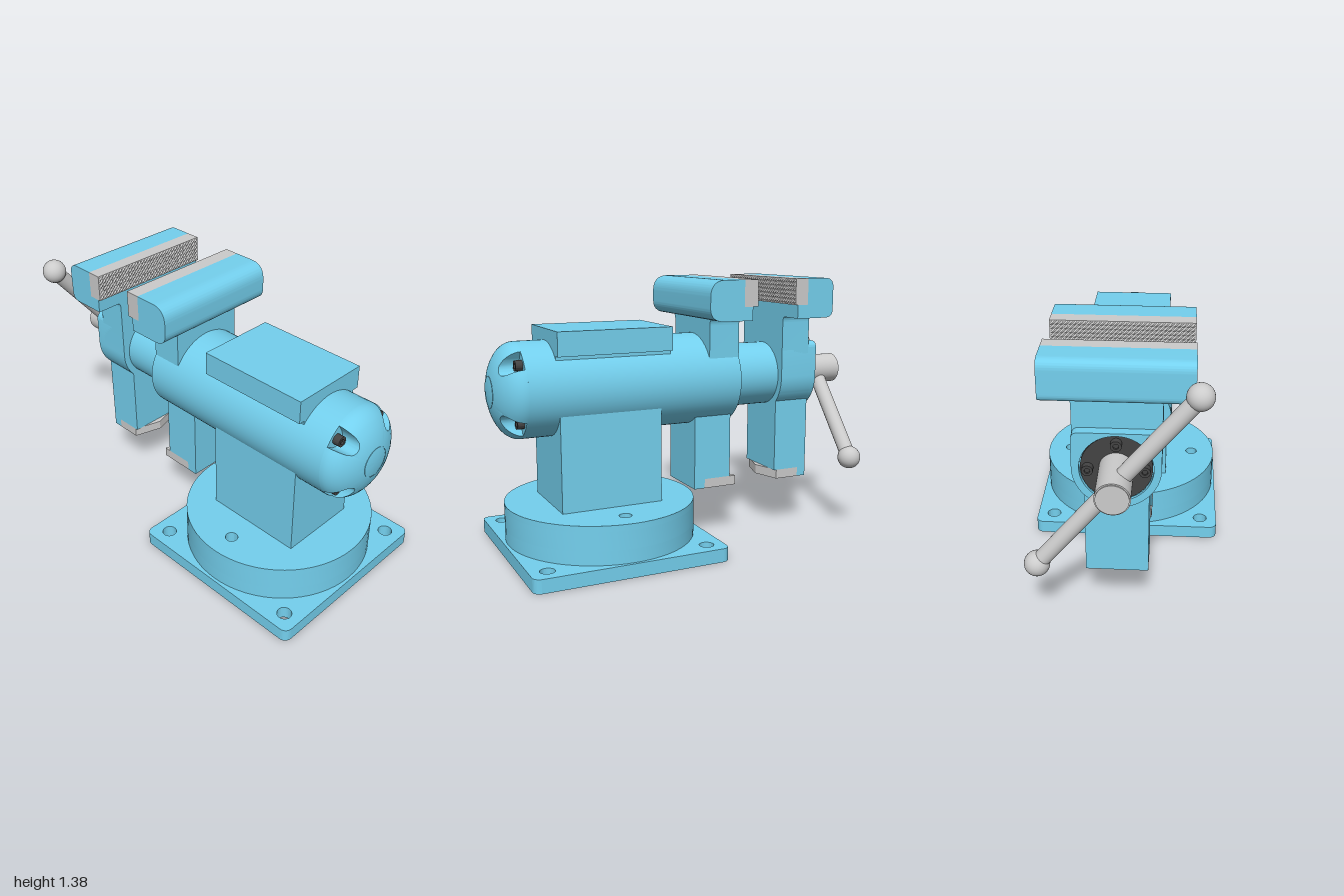
import * as THREE from 'three';
import { toCreasedNormals } from 'three/addons/utils/BufferGeometryUtils.js';

const mat = (color) => new THREE.MeshStandardMaterial({ color });
const BLUE = mat(0x74d0ee), GREY = mat(0xcccccc), DARK = mat(0x444444);
const AXIS_Y = 0.857, BASE_Z = 0.435;

export function createModel() {
  const model = new THREE.Group();

  const add = (name, geo, material, x = 0, y = 0, z = 0) => {
    const mesh = new THREE.Mesh(geo, material);
    mesh.name = name;
    mesh.position.set(x, y, z);
    model.add(mesh);
    return mesh;
  };
  // Box given by its limits on each axis
  const box = (name, m, x0, x1, y0, y1, z0, z1) =>
    add(name, new THREE.BoxGeometry(x1 - x0, y1 - y0, z1 - z0), m, (x0 + x1) / 2, (y0 + y1) / 2, (z0 + z1) / 2);
  // Cylinder along z
  const rod = (name, m, r, z0, z1, x = 0, y = AXIS_Y, n = 48) =>
    add(name, new THREE.CylinderGeometry(r, r, z1 - z0, n).rotateX(Math.PI / 2), m, x, y, (z0 + z1) / 2);
  const extrude = (shape, depth) =>
    toCreasedNormals(new THREE.ExtrudeGeometry(shape, { depth, bevelEnabled: false, curveSegments: 32 }), 0.5);
  // Extrusions: upwards, along z, and across x (shape x = -z)
  const slab = (name, m, shape, y0, y1, z = 0) => add(name, extrude(shape, y1 - y0).rotateX(-Math.PI / 2), m, 0, y0, z);
  const alongZ = (name, m, shape, z0, z1) => add(name, extrude(shape, z1 - z0), m, 0, 0, z0);
  const acrossX = (name, m, shape, half) => add(name, extrude(shape, 2 * half).rotateY(Math.PI / 2), m, -half, 0, 0);

  const disc = (r, x = 0, y = 0) => new THREE.Shape().absarc(x, y, r, 0, Math.PI * 2, false);
  const rect = (a, b, r = 0) => {
    const s = new THREE.Shape();
    if (!r) return s.moveTo(-a, -b).lineTo(a, -b).lineTo(a, b).lineTo(-a, b).closePath();
    s.absarc(a - r, b - r, r, 0, Math.PI / 2).absarc(r - a, b - r, r, Math.PI / 2, Math.PI);
    return s.absarc(r - a, r - b, r, Math.PI, Math.PI * 1.5).absarc(a - r, r - b, r, Math.PI * 1.5, Math.PI * 2);
  };
  const cut = (shape, ...holes) => { shape.holes.push(...holes); return shape; };

  // Base plate, hollow turntable and clamp bar
  const boltHoles = () => [-0.36, 0.36].map((x) => disc(0.032, x, 0));
  const corners = [-1, 1].flatMap((i) => [-1, 1].map((j) => disc(0.037, i * 0.415, j * 0.415)));
  slab('basePlate', BLUE, cut(rect(0.505, 0.505, 0.04), disc(0.45), ...corners), 0, 0.07, BASE_Z);
  slab('turntableWall', BLUE, cut(disc(0.49), disc(0.45)), 0.07, 0.14, BASE_Z);
  slab('turntableLedge', BLUE, cut(disc(0.49), disc(0.31), ...boltHoles()), 0.14, 0.235, BASE_Z);
  slab('turntableTop', BLUE, cut(disc(0.49), rect(0.18, 0.2), ...boltHoles()), 0.235, 0.265, BASE_Z);
  slab('clampBar', GREY, cut(rect(0.43, 0.085), ...boltHoles()), 0.02, 0.07, BASE_Z);
  slab('pedestal', BLUE, cut(rect(0.213, 0.265), rect(0.18, 0.2)), 0.265, 0.78, 0.44);

  // Barrel with domed cap and anvil
  rod('barrel', BLUE, 0.24, -0.27, 0.86, 0, AXIS_Y, 64);
  add('barrelCap', capGeometry(), BLUE, 0, AXIS_Y, 0);
  alongZ('capRing', BLUE, cut(disc(0.079, 0, AXIS_Y), disc(0.075, 0, AXIS_Y)), 0.98, 0.994);
  box('anvil', BLUE, -0.213, 0.213, 1.035, 1.155, 0.11, 0.71);
  box('anvilNeck', BLUE, -0.18, 0.18, 0.95, 1.035, 0.11, 0.71);

  const boltHead = (name, x, y, z0, z1) => {
    alongZ(name, DARK, cut(disc(0.026, x, y), disc(0.013, x, y)), z0, z1);
    rod(name + 'Core', DARK, 0.014, z0 + 0.008, z1 - 0.008, x, y, 6);
  };
  for (const i of [-1, 1]) for (const j of [-1, 1])
    boltHead('capBolt', i * 0.14, AXIS_Y + j * 0.14, 0.86, 0.9);

  // Neck flaring out under a jaw head
  const neck = () => new THREE.Shape().moveTo(-0.205, AXIS_Y).lineTo(0.205, AXIS_Y).lineTo(0.205, 1.15)
    .quadraticCurveTo(0.205, 1.19, 0.245, 1.19).lineTo(-0.245, 1.19).quadraticCurveTo(-0.205, 1.19, -0.205, 1.15);
  // Jaw head section: inner face, back of the grip pad, outer face, corner radius
  const head = (inner, pad, outer, r) => {
    const k = Math.sign(outer - inner) * r, y0 = 1.18, y1 = 1.385;
    return new THREE.Shape().moveTo(inner, y0).lineTo(inner, 1.25).lineTo(pad, 1.25).lineTo(pad, y1)
      .lineTo(outer - k, y1).quadraticCurveTo(outer, y1, outer, y1 - r)
      .lineTo(outer, y0 + r * 0.8).quadraticCurveTo(outer, y0, outer - k, y0);
  };
  // Knurled grip face of small pyramids
  const knurl = (name, z, turn) => {
    const g = new THREE.PlaneGeometry(0.68, 0.128, 64, 12), p = g.attributes.position;
    for (let i = 0; i < p.count; i++) {
      const c = i % 65, r = Math.floor(i / 65);
      p.setZ(i, c % 2 && r % 2 ? 0.007 : 0);
    }
    const flat = g.toNonIndexed();
    flat.computeVertexNormals();
    add(name, flat, GREY, 0, 1.318, z).rotation.y = turn;
  };

  // Fixed jaw
  alongZ('fixedJawNeck', BLUE, neck(), -0.27, -0.1);
  acrossX('fixedJawHead', BLUE, head(0.27, 0.222, 0.03, 0.085), 0.345);
  box('fixedGrip', GREY, -0.345, 0.345, 1.25, 1.385, -0.299, -0.222);
  knurl('fixedGripKnurl', -0.2995, Math.PI);
  box('fixedJawLeg', BLUE, -0.15, 0.15, 0.33, 0.75, -0.255, -0.045);
  box('fixedJawFoot', BLUE, -0.15, 0.15, 0.28, 0.33, -0.105, -0.045);

  // Sliding jaw
  rod('slide', BLUE, 0.17, -0.56, -0.26);
  alongZ('slidingJawNeck', BLUE, neck(), -0.7, -0.535);
  acrossX('slidingJawHead', BLUE, head(0.535, 0.595, 0.75, 0.05), 0.345);
  box('slidingGrip', GREY, -0.345, 0.345, 1.25, 1.385, -0.595, -0.521);
  knurl('slidingGripKnurl', -0.5205, 0);
  box('slidingJawLeg', BLUE, -0.15, 0.15, 0.33, 0.75, -0.735, -0.535);
  box('slidingJawFoot', BLUE, -0.15, 0.15, 0.28, 0.33, -0.735, -0.685);
  const boss = () => new THREE.Shape().absarc(0, AXIS_Y, 0.205, Math.PI, Math.PI * 2)
    .lineTo(0.205, 1.0).quadraticCurveTo(0.205, 1.04, 0.165, 1.04)
    .lineTo(-0.165, 1.04).quadraticCurveTo(-0.205, 1.04, -0.205, 1.0);
  alongZ('screwBoss', BLUE, boss(), -0.725, -0.535);
  alongZ('screwBossRim', BLUE, cut(boss(), disc(0.17, 0, AXIS_Y)), -0.75, -0.725);
  rod('retainerPlate', DARK, 0.165, -0.74, -0.72);
  for (const [x, y] of [[-0.13, 0], [0.13, 0], [0, 0.13]])
    boltHead('retainerBolt', x, AXIS_Y + y, -0.772, -0.735);

  // Pipe grips under the legs: one notched, one pointed
  const pipeGrip = (name, back, edge, mid) => {
    const s = new THREE.Shape().moveTo(-0.15, back).lineTo(0.15, back).lineTo(0.15, edge).lineTo(0, mid).lineTo(-0.15, edge);
    const c = (back + edge) / 2;
    slab(name, GREY, cut(s, disc(0.022, -0.085, c), disc(0.022, 0.085, c)), 0.28, 0.33);
  };
  pipeGrip('fixedPipeGrip', 0.105, 0.29, 0.245);
  pipeGrip('slidingPipeGrip', 0.685, 0.55, 0.505);

  // Screw and handle
  rod('screw', GREY, 0.08, -0.994, -0.74);
  rod('screwEnd', GREY, 0.074, -1, -0.99);
  const a = new THREE.Vector3(-0.36, 1.3, -0.88), b = new THREE.Vector3(0.36, 0.415, -0.88);
  const bar = add('handle', new THREE.CylinderGeometry(0.04, 0.04, a.distanceTo(b), 32), GREY, 0, AXIS_Y, -0.88);
  bar.quaternion.setFromUnitVectors(new THREE.Vector3(0, 1, 0), a.clone().sub(b).normalize());
  for (const p of [a, b]) add('handleKnob', new THREE.SphereGeometry(0.061, 32, 20), GREY, p.x, p.y, p.z);

  return model;
}

// Elliptical dome with four bolt pockets open to its rim
function capGeometry() {
  const R = 0.24, c = 0.198, q = 0.045, half = Math.asin(q / c), floor = 0.865;
  const dome = (r) => 0.86 + 0.14 * Math.sqrt(Math.max(0, 1 - (r / R) ** 2));
  const pos = [], index = [], ROWS = 18;
  const column = (mid, t, inside) => {
    const root = Math.sqrt(Math.max(0, q * q - (c * Math.sin(t)) ** 2));
    const rs = inside ? c * Math.cos(t) - root : c * Math.cos(half);
    for (let k = 0; k < ROWS; k++) {
      const r = k < 9 ? (rs * k) / 8 : rs + (R - rs) * Math.sin(((k - 9) / 8) * Math.PI / 2);
      const z = inside && k >= 9 ? Math.min(floor, dome(r)) : dome(r);
      pos.push(r * Math.cos(mid + t), r * Math.sin(mid + t), z);
    }
  };
  for (let quad = 0; quad < 4; quad++) {
    const mid = Math.PI / 4 + quad * Math.PI / 2;
    for (let i = 0; i <= 6; i++) column(mid, -Math.PI / 4 + (Math.PI / 4 - half) * i / 6, false);
    for (let i = 0; i <= 12; i++) column(mid, half * (i / 6 - 1), true);
    for (let i = 0; i <= 6; i++) column(mid, half + (Math.PI / 4 - half) * i / 6, false);
  }
  const cols = pos.length / 3 / ROWS;
  for (let i = 0; i < cols; i++) for (let k = 0; k < ROWS - 1; k++) {
    const p = i * ROWS + k, n = ((i + 1) % cols) * ROWS + k;
    index.push(p, p + 1, n + 1, p, n + 1, n);
  }
  const g = new THREE.BufferGeometry();
  g.setAttribute('position', new THREE.Float32BufferAttribute(pos, 3));
  g.setIndex(index);
  return toCreasedNormals(g, 0.6);
}
